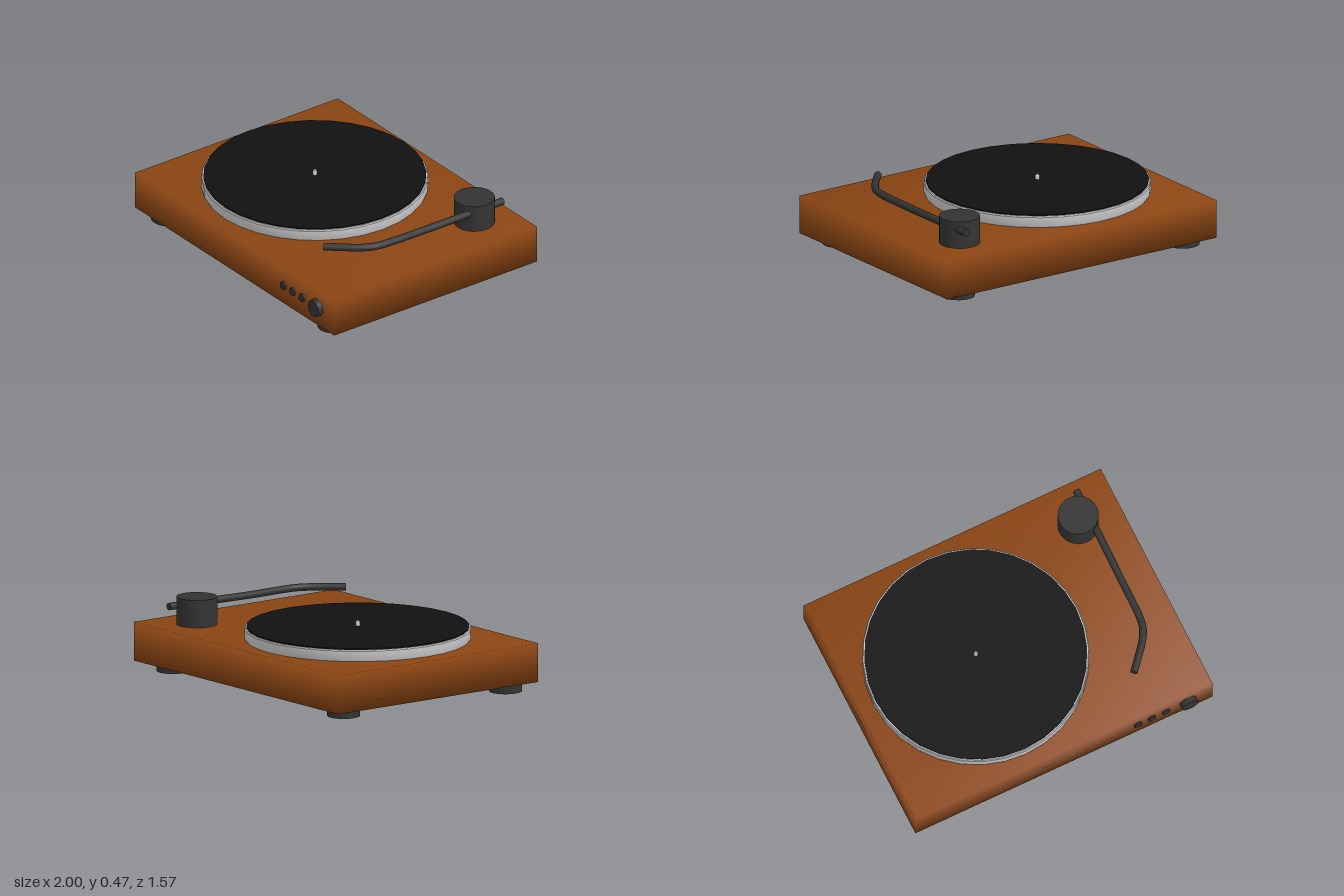
import * as THREE from 'three';
import { mergeVertices, toCreasedNormals } from 'three/addons/utils/BufferGeometryUtils.js';

const mat = (color) => new THREE.MeshStandardMaterial({ color });

export function createModel() {
  const model = new THREE.Group();
  model.name = 'recordPlayer';
  const wood = mat(0x8b4513), dark = mat(0x333333), black = mat(0x111111), metal = mat(0xcccccc);

  const add = (name, geometry, material, x = 0, y = 0, z = 0, parent = model) => {
    const mesh = new THREE.Mesh(geometry, material);
    mesh.name = name;
    mesh.position.set(x, y, z);
    parent.add(mesh);
    return mesh;
  };
  const lathe = (points, sides) =>
    toCreasedNormals(new THREE.LatheGeometry(points.map(([r, y]) => new THREE.Vector2(r, y)), sides), 0.6);

  // Plinth: a plain box whose shading is smoothed around the edges
  const box = new THREE.BoxGeometry(2, 0.24, 1.535);
  box.deleteAttribute('normal');
  box.deleteAttribute('uv');
  const plinth = mergeVertices(box);
  plinth.computeVertexNormals();
  add('plinth', plinth, wood, 0, 0.18, -0.0175);

  // Feet
  for (const x of [-0.86, 0.81]) {
    for (const [z, bottom] of [[0.61, 0], [-0.635, 0.01]]) {
      const height = 0.07 - bottom;
      add('foot', new THREE.CylinderGeometry(0.1, 0.1, height, 24), dark, x, bottom + height / 2, z);
    }
  }

  // Platter with chamfered rims, record and spindle
  const turntable = new THREE.Group();
  turntable.name = 'turntable';
  turntable.position.set(-0.216, 0, -0.02);
  model.add(turntable);
  add('platter', lathe([[0, 0.295], [0.68, 0.295], [0.688, 0.31], [0.688, 0.364], [0.683, 0.371], [0, 0.371]], 32),
    metal, 0, 0, 0, turntable);
  add('record', new THREE.CylinderGeometry(0.675, 0.675, 0.012, 32), black, 0, 0.373, 0, turntable);
  add('spindle', lathe([[0.014, 0.37], [0.014, 0.4], [0.009, 0.41], [0, 0.414]], 12), metal, 0, 0, 0, turntable);

  // Tonearm base
  add('tonearmBase', new THREE.CylinderGeometry(0.124, 0.124, 0.175, 32), dark, 0.72, 0.3825, -0.522);

  // Tonearm: straight tube with a bent front end, closed by caps
  const path = new THREE.CatmullRomCurve3([
    [0.787, 0.416, -0.685], [0.786, 0.413, -0.4], [0.78, 0.409, -0.05], [0.775, 0.411, 0.2],
    [0.762, 0.412, 0.28], [0.722, 0.413, 0.355], [0.66, 0.414, 0.432], [0.585, 0.414, 0.518],
  ].map((p) => new THREE.Vector3(...p)), false, 'centripetal');
  const radius = 0.023;
  add('tonearm', new THREE.TubeGeometry(path, 48, radius, 12), dark);
  for (const [t, sign] of [[0, -1], [1, 1]]) {
    const end = path.getPointAt(t);
    const cap = add('tonearmCap', new THREE.CircleGeometry(radius, 12), dark, end.x, end.y, end.z);
    cap.lookAt(end.clone().addScaledVector(path.getTangentAt(t), sign));
  }

  // Front controls
  const control = (name, x, r, front) => {
    const depth = front - 0.74;
    add(name, new THREE.CylinderGeometry(r, r, depth, 24).rotateX(Math.PI / 2), dark, x, 0.185, 0.74 + depth / 2);
  };
  for (const x of [0.497, 0.59, 0.685]) control('button', x, 0.026, 0.762);
  control('volumeKnob', 0.835, 0.054, 0.785);

  return model;
}
